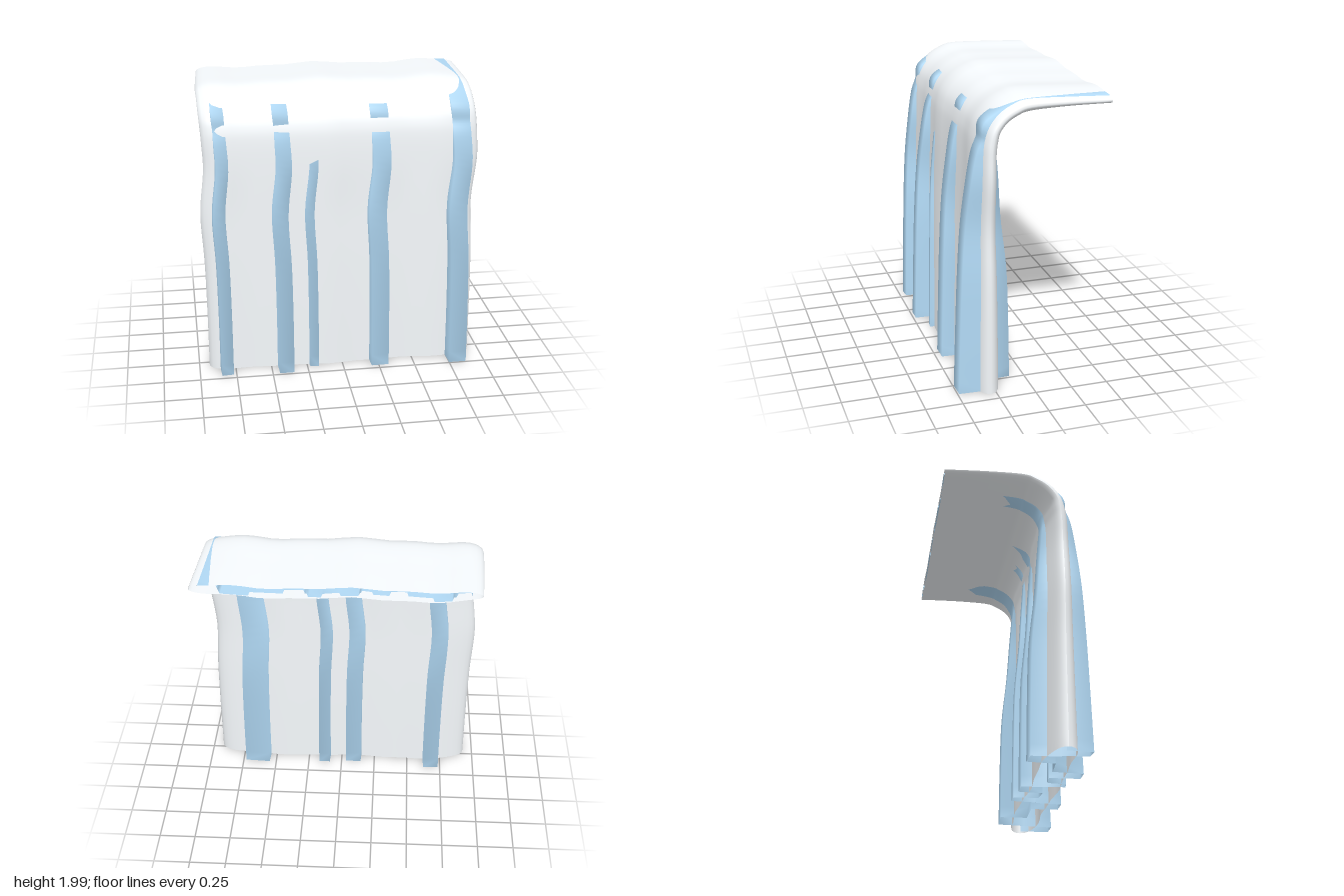
import * as THREE from 'three';

// Centre line of the fall from its foot up over the bend:
// [x drift, y, z, sheet half thickness, front fold depth, back fold depth]
const stations = [
  [0, 0.01, 0.28, 0.095, 0.205, 0.2],
  [0, 0.4, 0.28, 0.09, 0.192, 0.192],
  [-0.005, 0.8, 0.28, 0.083, 0.175, 0.178],
  [-0.02, 1.15, 0.28, 0.075, 0.148, 0.14],
  [0.01, 1.45, 0.28, 0.07, 0.118, 0.112],
  [0.005, 1.63, 0.275, 0.067, 0.088, 0.092],
  [0, 1.72, 0.263, 0.066, 0.062, 0.077],
  [-0.005, 1.79, 0.24, 0.063, 0.081, 0.08],
  [-0.01, 1.855, 0.185, 0.062, 0.054, 0.074],
  [-0.012, 1.9, 0.11, 0.061, 0.045, 0.07],
  [-0.015, 1.925, 0.02, 0.058, 0.04, 0.064],
  [-0.005, 1.93, -0.22, 0.045, 0.034, 0.038],
  [0.01, 1.927, -0.5, 0.036, 0.03, 0.03],
];
const curveOf = (points) => new THREE.CatmullRomCurve3(points, false, 'catmullrom', 0.5);
const path = curveOf(stations.map(([x, y, z]) => new THREE.Vector3(x, y, z)));
const depths = curveOf(stations.map(([, , , t, front, back]) => new THREE.Vector3(t, front, back)));
const ROWS = 60;

// Sweep a cross-section of [x, offset] points along the centre line
function sweep(section) {
  const positions = [];
  const index = [];
  const n = section(depths.getPoint(0)).length;
  for (let r = 0; r <= ROWS; r++) {
    const c = path.getPoint(r / ROWS);
    const tan = path.getTangent(r / ROWS);
    const len = Math.hypot(tan.y, tan.z);
    const ny = r === 0 ? 0 : -tan.z / len;
    const nz = tan.y / len;
    for (const [x, off] of section(depths.getPoint(r / ROWS))) {
      // gentle ripple across the width
      const d = off + 0.01 * Math.cos(7 * (x + 0.1)) + 0.005 * Math.cos(17 * (x + 0.1));
      positions.push(x + c.x, c.y + ny * d, c.z + nz * d);
    }
  }
  for (let r = 0; r < ROWS; r++) {
    for (let i = 0; i < n - 1; i++) {
      const a = r * n + i;
      index.push(a, a + 1, a + n, a + 1, a + n + 1, a + n);
    }
  }
  const g = new THREE.BufferGeometry();
  g.setAttribute('position', new THREE.Float32BufferAttribute(positions, 3));
  g.setIndex(index);
  g.computeVertexNormals();
  return g;
}

// Flattened, round-edged closed loop
function sheetSection(depth) {
  const points = [];
  const N = 28;
  for (let k = 0; k <= 2 * N; k++) {
    const side = k <= N ? 1 : -1;
    const s = side > 0 ? (2 * k) / N - 1 : 1 - (2 * (k - N)) / N;
    const u = Math.sin((Math.PI / 2) * s);
    points.push([0.93 * u, side * depth.x * Math.sqrt(Math.max(0, 1 - Math.abs(u) ** 9))]);
  }
  return points;
}

// Folds that push out of the front (+) or back (-): [centre x, width, strength]
const folds = [
  [-0.81, 0.09, 0.84],
  [-0.68, 0.12, -0.95],
  [-0.4, 0.11, 1],
  [-0.2, 0.07, 0.62],
  [-0.09, 0.12, -0.84],
  [0.13, 0.09, -0.84],
  [0.26, 0.13, 0.9],
  [0.64, 0.19, -0.95],
  [0.81, 0.13, 1],
];

function foldSection(depth) {
  const points = [];
  for (const [x, w, s] of folds) {
    const d = s * (s > 0 ? depth.y : depth.z);
    points.push([x - w / 2 - 0.005, 0], [x - w / 2 + 0.005, d], [x + w / 2 - 0.005, d], [x + w / 2 + 0.005, 0]);
  }
  return points;
}

function makePart(name, section, color) {
  const mesh = new THREE.Mesh(
    sweep(section),
    new THREE.MeshStandardMaterial({ color, side: THREE.DoubleSide }),
  );
  mesh.name = name;
  return mesh;
}

export function createModel() {
  const group = new THREE.Group();
  group.name = 'waterfall';
  // Smooth pale body of falling water, open at both ends
  group.add(makePart('waterSheet', sheetSection, 0xf5f9fc));
  // Blue streams breaking through both faces
  group.add(makePart('waterStreams', foldSection, 0xb2daf6));
  return group;
}
